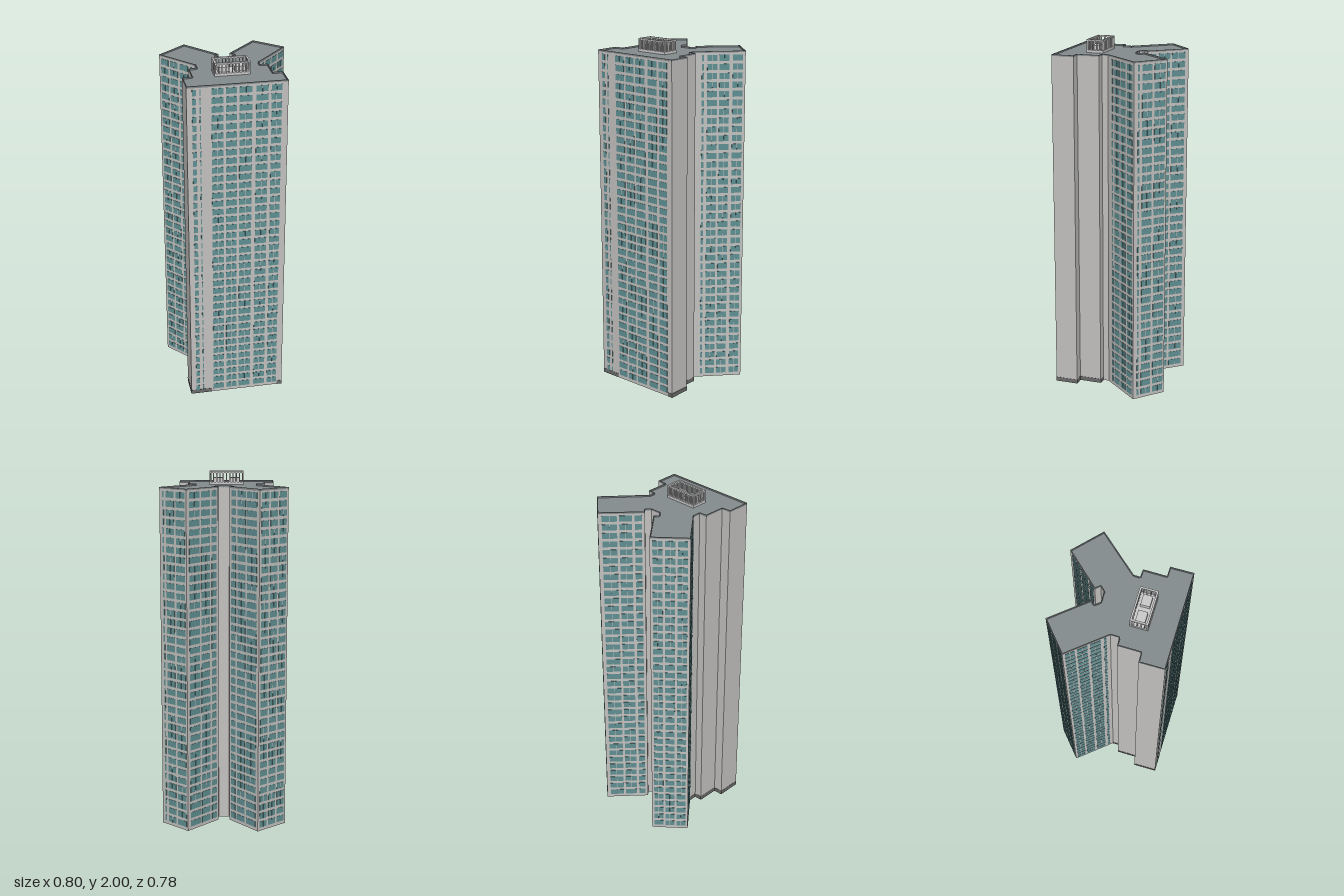
import * as THREE from 'three';
import { mergeGeometries } from 'three/addons/utils/BufferGeometryUtils.js';

const TOP = 1.935, FLOORS = 38, BASE = 0.012, PITCH = 0.0503;

const material = (name, color) => {
  const m = new THREE.MeshStandardMaterial({ color });
  m.name = name;
  return m;
};

// Three-winged footprint as x, z corners, starting at the rear wing
const PLAN = [
  [-0.23, -0.343], [-0.025, -0.393], [0.033, -0.15], [0.005, -0.14], [0.013, -0.106],
  [0.067, -0.08], [0.1, -0.09], [0.09, -0.123], [0.325, -0.21], [0.398, -0.02],
  [0.13, 0.085], [0.114, 0.115], [0.152, 0.137], [0.094, 0.25], [0.142, 0.275],
  [0.085, 0.39], [-0.4, 0.145], [-0.338, 0.022], [-0.289, 0.044], [-0.232, -0.066],
  [-0.191, -0.048], [-0.17, -0.089],
];

// Window columns per wall (index of its first corner), as fractions of the wall length
const WINDOWS = {
  0: [[0.06, 0.32], [0.37, 0.63], [0.68, 0.94]],
  1: [[0.08, 0.41], [0.45, 0.73], [0.78, 0.94]],
  7: [[0.06, 0.22], [0.27, 0.55], [0.59, 0.92]],
  8: [[0.05, 0.39], [0.45, 0.76], [0.83, 0.89]],
  9: [[0.05, 0.25], [0.31, 0.51], [0.545, 0.745], [0.8, 0.85]],
  15: [[0.062, 0.169], [0.196, 0.32], [0.355, 0.485], [0.505, 0.619], [0.639, 0.759],
    [0.86, 0.875], [0.905, 0.948]],
  21: [[0.08, 0.14], [0.2, 0.43], [0.48, 0.7], [0.74, 0.95]],
};
// Blank walls of the front slab that have a dark plinth
const PLINTHS = [11, 12, 13, 14, 16, 17, 18, 19, 20];

export function createModel() {
  const wall = material('wall', 0xc2c1bf);
  const glass = material('glass', 0x5f8f92);
  const roof = material('roof', 0x848b8d);
  const dark = material('plinth', 0x6a6a6a);
  const pale = material('plantRoom', 0xcacaca);

  const model = new THREE.Group();
  const add = (name, geometry, mat, parent = model) => {
    const mesh = new THREE.Mesh(geometry, mat);
    mesh.name = name;
    parent.add(mesh);
    return mesh;
  };
  const box = (w, h, d, x, y, z) => new THREE.BoxGeometry(w, h, d).translate(x, y, z);

  // Tower body, capped by the roof deck
  const shape = new THREE.Shape(PLAN.map(([x, z]) => new THREE.Vector2(x, -z)));
  const body = new THREE.ExtrudeGeometry(shape, { depth: TOP - 0.008, bevelEnabled: false });
  add('tower', body.rotateX(-Math.PI / 2), [roof, wall]);

  // Each wall group runs along local x; its outside is local -z
  PLAN.forEach(([x, z], i) => {
    const [x2, z2] = PLAN[(i + 1) % PLAN.length];
    const length = Math.hypot(x2 - x, z2 - z);
    const side = new THREE.Group();
    side.name = `wall${i + 1}`;
    side.position.set(x, 0, z);
    side.rotation.y = -Math.atan2(z2 - z, x2 - x);
    model.add(side);

    add('parapet', box(length, 0.01, 0.005, length / 2, TOP - 0.005, 0.0025), roof, side);

    // Two panes per wide window on every floor
    if (WINDOWS[i]) {
      const panes = [];
      for (const [from, to] of WINDOWS[i]) {
        const width = (to - from) * length;
        const count = width > 0.045 ? 2 : 1;
        const step = width / count;
        for (let floor = 0; floor < FLOORS; floor++) {
          const y = BASE + (floor + 0.5) * PITCH;
          for (let k = 0; k < count; k++) {
            const px = from * length + (k + 0.5) * step;
            panes.push(box(step - 0.002, 0.034, 0.002, px, y, -0.0005));
          }
        }
      }
      add('windows', mergeGeometries(panes), glass, side);
    }
    if (PLINTHS.includes(i)) {
      add('plinth', box(length, 0.024, 0.002, length / 2, 0.012, -0.0005), dark, side);
    }
  });

  // Plinth pieces at both ends of the front wall
  const front = model.getObjectByName('wall16');
  add('plinth', box(0.03, 0.024, 0.002, 0.015, 0.012, -0.0005), dark, front);
  add('plinth', box(0.12, 0.024, 0.002, 0.483, 0.012, -0.0005), dark, front);

  // Open rooftop plant enclosure: deck, posts, top rail and inner units
  const plant = new THREE.Group();
  plant.name = 'plantEnclosure';
  plant.position.set(-0.073, TOP - 0.008, 0.1);
  plant.rotation.y = -0.468;
  model.add(plant);
  const L = 0.193, W = 0.097, H = 0.073;
  add('deck', box(L, 0.014, W, 0, 0.007, 0), pale, plant);
  const posts = [];
  const rails = [];
  for (const s of [-1, 1]) {
    for (let k = 0; k <= 10; k++) {
      posts.push(box(0.006, H - 0.008, 0.008, (k / 10 - 0.5) * (L - 0.008), H / 2 - 0.004, s * (W / 2 - 0.005)));
    }
    for (let k = 1; k < 5; k++) {
      posts.push(box(0.008, H - 0.008, 0.006, s * (L / 2 - 0.005), H / 2 - 0.004, (k / 5 - 0.5) * W));
    }
    rails.push(box(L, 0.008, 0.01, 0, H - 0.004, s * (W / 2 - 0.005)));
    rails.push(box(0.01, 0.008, W - 0.02, s * (L / 2 - 0.005), H - 0.004, 0));
  }
  add('posts', mergeGeometries(posts), pale, plant);
  add('topRail', mergeGeometries(rails), pale, plant);
  for (const s of [-1, 1]) add('plantUnit', box(0.06, 0.025, 0.05, s * 0.045, 0.0265, 0), pale, plant);

  return model;
}
